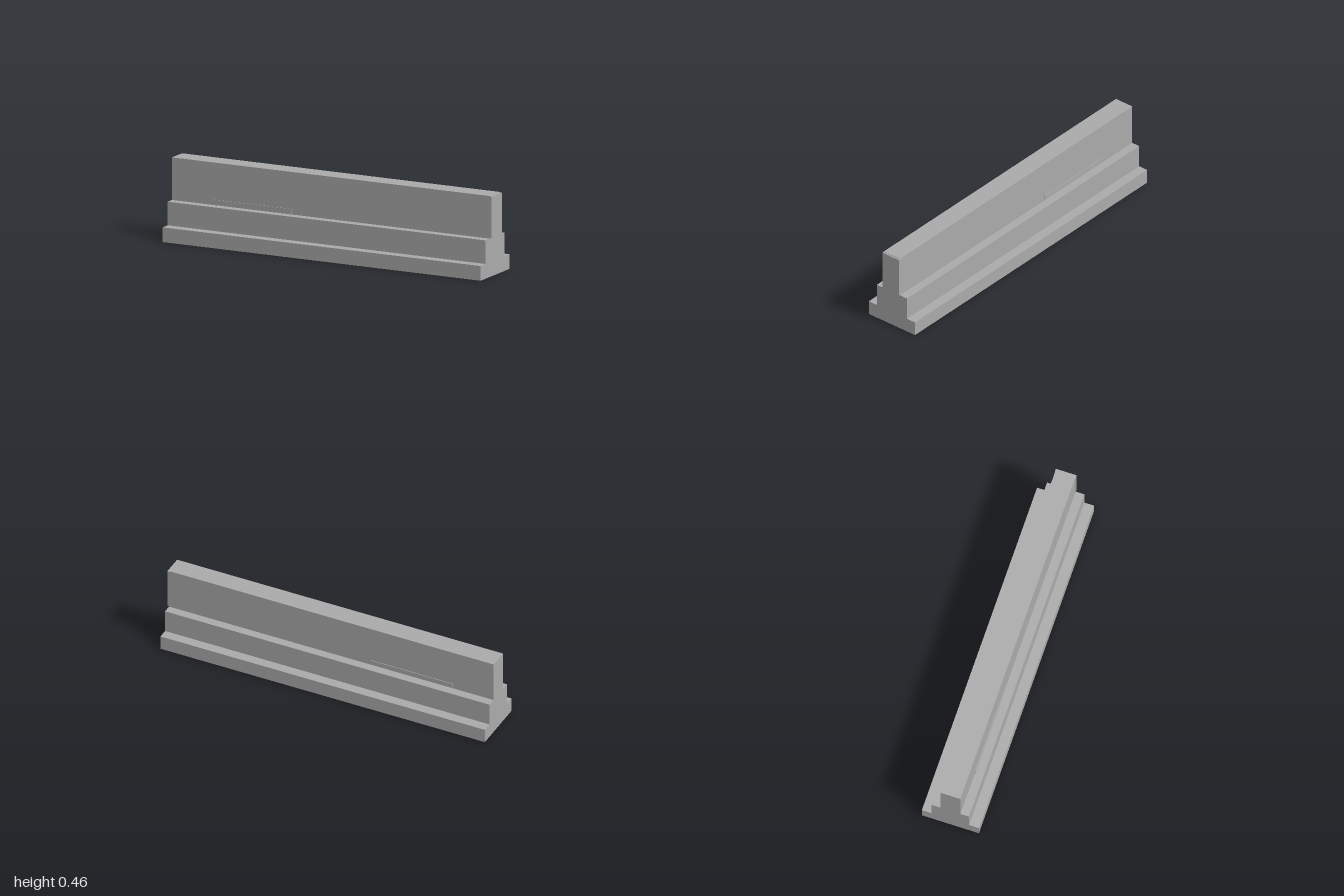
import * as THREE from 'three';

export function createModel() {
  const model = new THREE.Group();
  const grey = new THREE.MeshStandardMaterial({ color: 0xaaaaaa });
  grey.name = 'concreteGrey';

  const add = (name, geometry) => {
    const mesh = new THREE.Mesh(geometry, grey);
    mesh.name = name;
    model.add(mesh);
    return mesh;
  };

  // Box given by its minimum and maximum corners
  const box = (name, [x0, y0, z0], [x1, y1, z1]) =>
    add(name, new THREE.BoxGeometry(x1 - x0, y1 - y0, z1 - z0))
      .position.set((x0 + x1) / 2, (y0 + y1) / 2, (z0 + z1) / 2);

  // Stepped footing and wall: half profile mirrored, then swept along x
  const half = [[0.1655, 0], [0.1655, 0.083], [0.108, 0.083], [0.108, 0.216], [0.058, 0.216], [0.058, 0.456]];
  const profile = [...half, ...half.map(([z, y]) => [-z, y]).reverse()];
  const shape = new THREE.Shape(profile.map(([z, y]) => new THREE.Vector2(z, y)));
  const wall = new THREE.ExtrudeGeometry(shape, { depth: 1.99, bevelEnabled: false });
  wall.rotateY(Math.PI / 2);
  wall.translate(-1, 0, 0);
  add('steppedWall', wall);

  // Thin cap on the +x end of the wall
  box('endCap', [0.98, 0.22, -0.06], [1, 0.453, 0.06]);

  // Shallow strips at the foot of the wall, on both faces
  for (const side of [1, -1]) {
    const z = [0.057 * side, 0.0615 * side].sort((a, b) => a - b);
    box(side > 0 ? 'frontStrip' : 'backStrip', [-0.75, 0.22, z[0]], [-0.25, 0.247, z[1]]);
  }
  return model;
}
